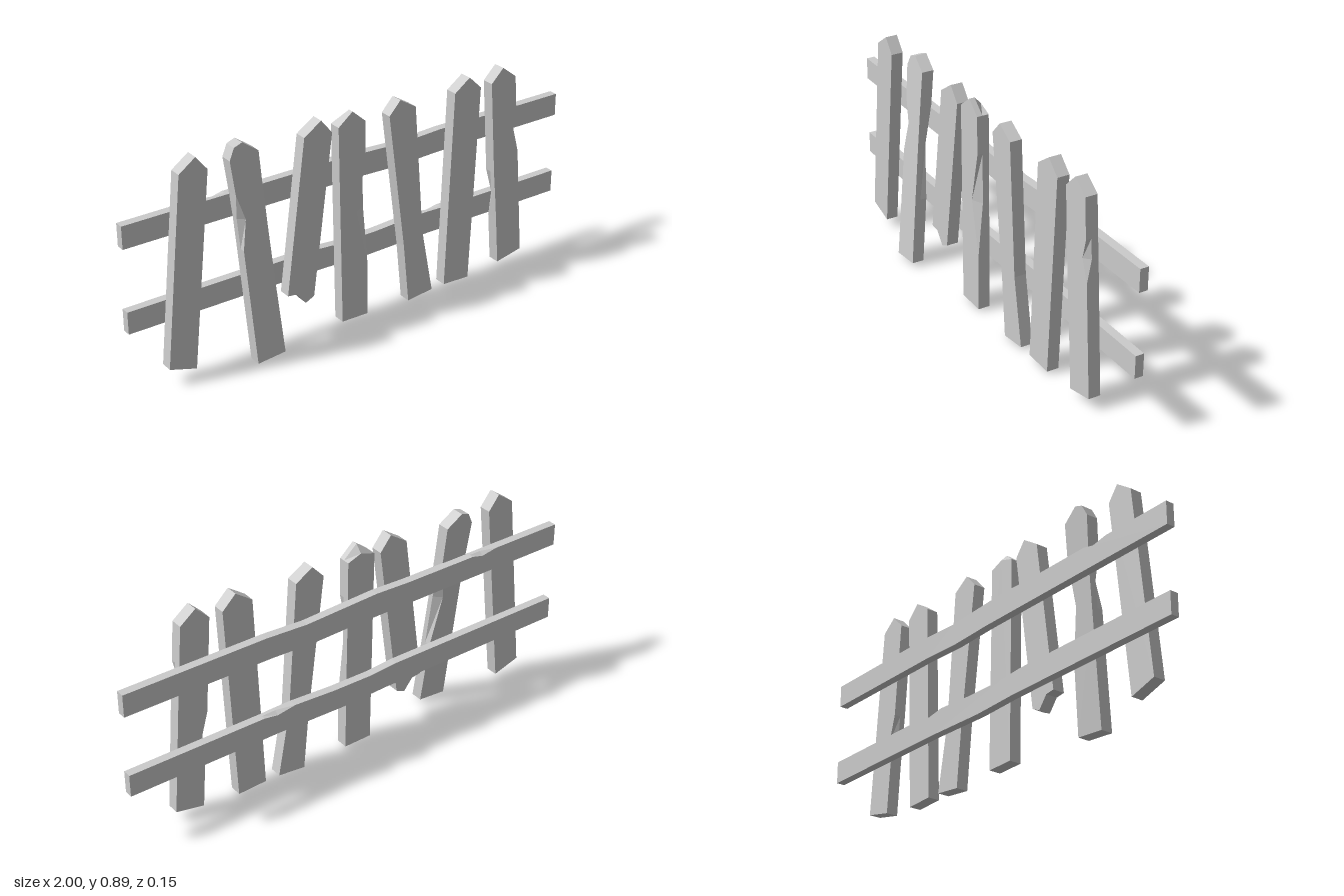
import * as THREE from 'three';

const material = new THREE.MeshStandardMaterial({ color: 0xcccccc, flatShading: true });

// Board from a counter-clockwise outline. Each point is [x, y, frontInsetX, backInsetX, backInsetY];
// the insets carve chips out of the front or back edge. lean(y) shifts the board in z.
function board(name, points, zFront, zBack, lean = () => 0) {
  const n = points.length;
  const loops = [
    points.map(([x, y, fx = 0]) => [x + fx, y, zFront + lean(y)]),
    points.map(([x, y]) => [x, y, zFront * 0.55 + zBack * 0.45 + lean(y)]),
    points.map(([x, y, , bx = 0, by = 0]) => [x + bx, y + by, zBack + lean(y)]),
  ];
  const pos = [];
  const tri = (a, b, c) => pos.push(...a, ...b, ...c);
  const cap = (loop) => THREE.ShapeUtils.triangulateShape(loop.map(([x, y]) => new THREE.Vector2(x, y)), []);
  // Front and back faces
  for (const [a, b, c] of cap(loops[0])) tri(loops[0][a], loops[0][b], loops[0][c]);
  for (const [a, b, c] of cap(loops[2])) tri(loops[2][a], loops[2][c], loops[2][b]);
  // Edges, in two bands
  for (let k = 0; k < 2; k++) {
    for (let i = 0; i < n; i++) {
      const j = (i + 1) % n, f = loops[k], b = loops[k + 1];
      tri(f[i], b[i], b[j]);
      tri(f[i], b[j], f[j]);
    }
  }
  const geometry = new THREE.BufferGeometry();
  geometry.setAttribute('position', new THREE.Float32BufferAttribute(pos, 3));
  geometry.computeVertexNormals();
  const mesh = new THREE.Mesh(geometry, material);
  mesh.name = name;
  return mesh;
}

// Picket outlines: bottom left, bottom right, right shoulder, tip, left shoulder
const pickets = [
  [[-0.87, 0.08], [-0.757, 0.045], [-0.673, 0.84], [-0.72, 0.9], [-0.79, 0.85]],
  // Leaning picket, chipped on both edges
  [[-0.53, 0.015], [-0.408, 0.025], [-0.425, 0.3], [-0.437, 0.52, 0, -0.03], [-0.445, 0.7], [-0.45, 0.845],
    [-0.515, 0.892], [-0.55, 0.88], [-0.572, 0.835], [-0.56, 0.7], [-0.553, 0.6, 0.025], [-0.548, 0.48]],
  // Broken picket
  [[-0.35, 0.215], [-0.31, 0.21], [-0.27, 0.16], [-0.232, 0.178], [-0.142, 0.84], [-0.19, 0.9], [-0.265, 0.85]],
  // Long chip on the front right edge
  [[-0.1, 0.017], [0.02, 0.015], [0.018, 0.25], [0.013, 0.48, -0.045], [0.01, 0.69], [0.008, 0.848],
    [-0.05, 0.9, 0, 0, -0.03], [-0.113, 0.85]],
  // Bent picket
  [[0.22, 0.005], [0.338, 0.018], [0.285, 0.3], [0.243, 0.845], [0.17, 0.89], [0.12, 0.835], [0.195, 0.26]],
  [[0.4, 0.02], [0.523, 0.015], [0.56, 0.845], [0.503, 0.9], [0.433, 0.85]],
  // Chips on the front right and back left edges
  [[0.68, 0.035], [0.8, 0.06], [0.763, 0.52], [0.755, 0.61, -0.025], [0.748, 0.69], [0.735, 0.85],
    [0.67, 0.9], [0.615, 0.845], [0.644, 0.45], [0.655, 0.34, 0, 0.02], [0.664, 0.24]],
];

// Rail outlines, slightly warped, with small chips on the upper back edge
const rails = {
  upperRail: [[-1, 0.598], [0, 0.595], [0.2, 0.589], [0.38, 0.596], [1, 0.597], [1, 0.69], [0.4, 0.69],
    [0.22, 0.681], [-0.1, 0.695], [-0.25, 0.69], [-0.57, 0.69], [-0.62, 0.69, 0, 0, -0.012], [-0.69, 0.69], [-1, 0.69]],
  lowerRail: [[-1, 0.252], [-0.15, 0.25], [0.05, 0.243], [0.35, 0.25], [1, 0.25], [1, 0.343], [0.42, 0.343],
    [0.36, 0.345, 0, 0, -0.012], [0.28, 0.346], [0.1, 0.336], [-0.08, 0.334], [-0.2, 0.343], [-1, 0.343]],
};

export function createModel() {
  const group = new THREE.Group();
  group.name = 'brokenFence';
  pickets.forEach((points, i) => {
    const lean = i === 1 ? (y) => 0.065 - 0.1 * (y - 0.015) : undefined;
    group.add(board(`picket${i + 1}`, points, 0.01, -0.04, lean));
  });
  for (const [name, points] of Object.entries(rails)) group.add(board(name, points, -0.04, -0.075));
  return group;
}
